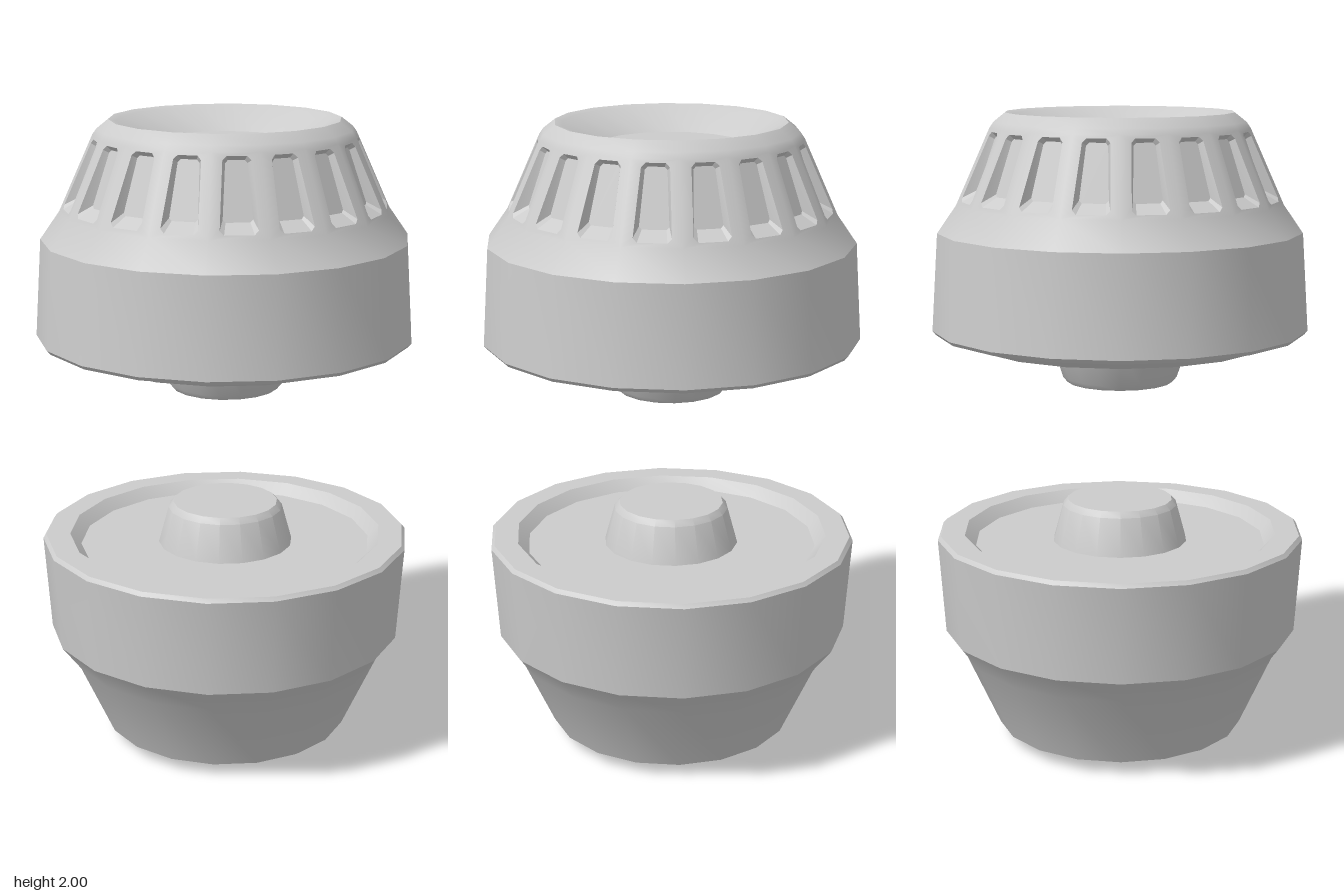
import * as THREE from 'three';
import { mergeGeometries, toCreasedNormals } from 'three/addons/utils/BufferGeometryUtils.js';

const SIDES = 18;
const STEP = (Math.PI * 2) / SIDES;
const material = new THREE.MeshStandardMaterial({ color: 0xcccccc });

// Profile of [radius, height] turned into an 18-sided solid, corners on the x axis
function turned(profile) {
  const points = profile.map(([r, y]) => new THREE.Vector2(r, y));
  const lathe = new THREE.LatheGeometry(points, SIDES, Math.PI / 2, Math.PI * 2);
  const geometry = lathe.toNonIndexed();
  geometry.deleteAttribute('uv');
  return geometry;
}

// Sloping band that carries the slots
const BAND = { r0: 0.505, y0: 1.725, r1: 0.4, y1: 1.955 };
const bandRadius = (y) =>
  BAND.r0 + ((BAND.r1 - BAND.r0) * (y - BAND.y0)) / (BAND.y1 - BAND.y0);

// Trapezoid loop with cut corners, counter-clockwise seen from outside
function slotLoop(y0, w0, y1, w1, cut, depth0, depth1) {
  const c = cut;
  const flat = [
    [-w0 + c, y0], [w0 - c, y0], [w0, y0 + c], [w1, y1 - c],
    [w1 - c, y1], [-w1 + c, y1], [-w1, y1 - c], [-w0, y0 + c],
  ];
  return flat.map(([x, y]) => {
    const depth = depth0 + ((depth1 - depth0) * (y - y0)) / (y1 - y0);
    return [x, y, bandRadius(y) * Math.cos(STEP / 2) - depth];
  });
}

// One flat panel of the band with a recessed slot, facing +z
function slotPanel() {
  const corner = (side, r, y) => [side * r * Math.sin(STEP / 2), y, r * Math.cos(STEP / 2)];
  const bl = corner(-1, BAND.r0, BAND.y0), br = corner(1, BAND.r0, BAND.y0);
  const tr = corner(1, BAND.r1, BAND.y1), tl = corner(-1, BAND.r1, BAND.y1);
  const loops = [
    [bl, br, br, tr, tr, tl, tl, bl],
    slotLoop(1.738, 0.055, 1.945, 0.041, 0.012, 0, 0),
    slotLoop(1.765, 0.043, 1.932, 0.032, 0.008, 0.036, 0.018),
  ];
  const positions = [];
  const triangle = (a, b, c) => {
    if (a !== b && b !== c && a !== c) positions.push(...a, ...b, ...c);
  };
  for (let l = 0; l < 2; l++) {
    const outer = loops[l], inner = loops[l + 1];
    for (let i = 0; i < 8; i++) {
      const j = (i + 1) % 8;
      triangle(outer[i], outer[j], inner[j]);
      triangle(outer[i], inner[j], inner[i]);
    }
  }
  // Slot floor
  for (let i = 1; i < 7; i++) triangle(loops[2][0], loops[2][i], loops[2][i + 1]);
  const geometry = new THREE.BufferGeometry();
  geometry.setAttribute('position', new THREE.Float32BufferAttribute(positions, 3));
  geometry.computeVertexNormals();
  return geometry;
}

function part(name, geometries) {
  const geometry = toCreasedNormals(mergeGeometries(geometries), 0.5);
  const mesh = new THREE.Mesh(geometry, material);
  mesh.name = name;
  return mesh;
}

export function createModel() {
  const model = new THREE.Group();
  model.name = 'splitCapsule';

  // Lower cup with a recessed rim
  model.add(part('lowerCup', [turned([
    [0, 0], [0.2, 0], [0.395, 0.042], [0.505, 0.285], [0.565, 0.365],
    [0.586, 0.668], [0.576, 0.68], [0.5, 0.68], [0.465, 0.645], [0, 0.645],
  ])]));

  // Stud rising from the lower cup
  model.add(part('lowerStud', [turned([
    [0.215, 0.645], [0.183, 0.762], [0.167, 0.78], [0, 0.78],
  ])]));

  // Stud hanging under the upper cap
  model.add(part('upperStud', [turned([
    [0, 1.165], [0.167, 1.165], [0.181, 1.182], [0.218, 1.295],
  ])]));

  // Upper cap: skirt with lip, slotted band, dished crown
  const skirt = turned([
    [0, 1.293], [0.465, 1.293], [0.5, 1.328], [0.576, 1.328], [0.586, 1.34],
    [0.565, 1.64], [BAND.r0, BAND.y0],
  ]);
  const crown = turned([
    [BAND.r1, BAND.y1], [0.388, 1.972], [0.352, 2], [0.33, 1.994], [0.222, 1.93], [0, 1.93],
  ]);
  const panels = [];
  for (let i = 0; i < SIDES; i++) panels.push(slotPanel().rotateY(i * STEP));
  model.add(part('upperCap', [skirt, ...panels, crown]));

  return model;
}
